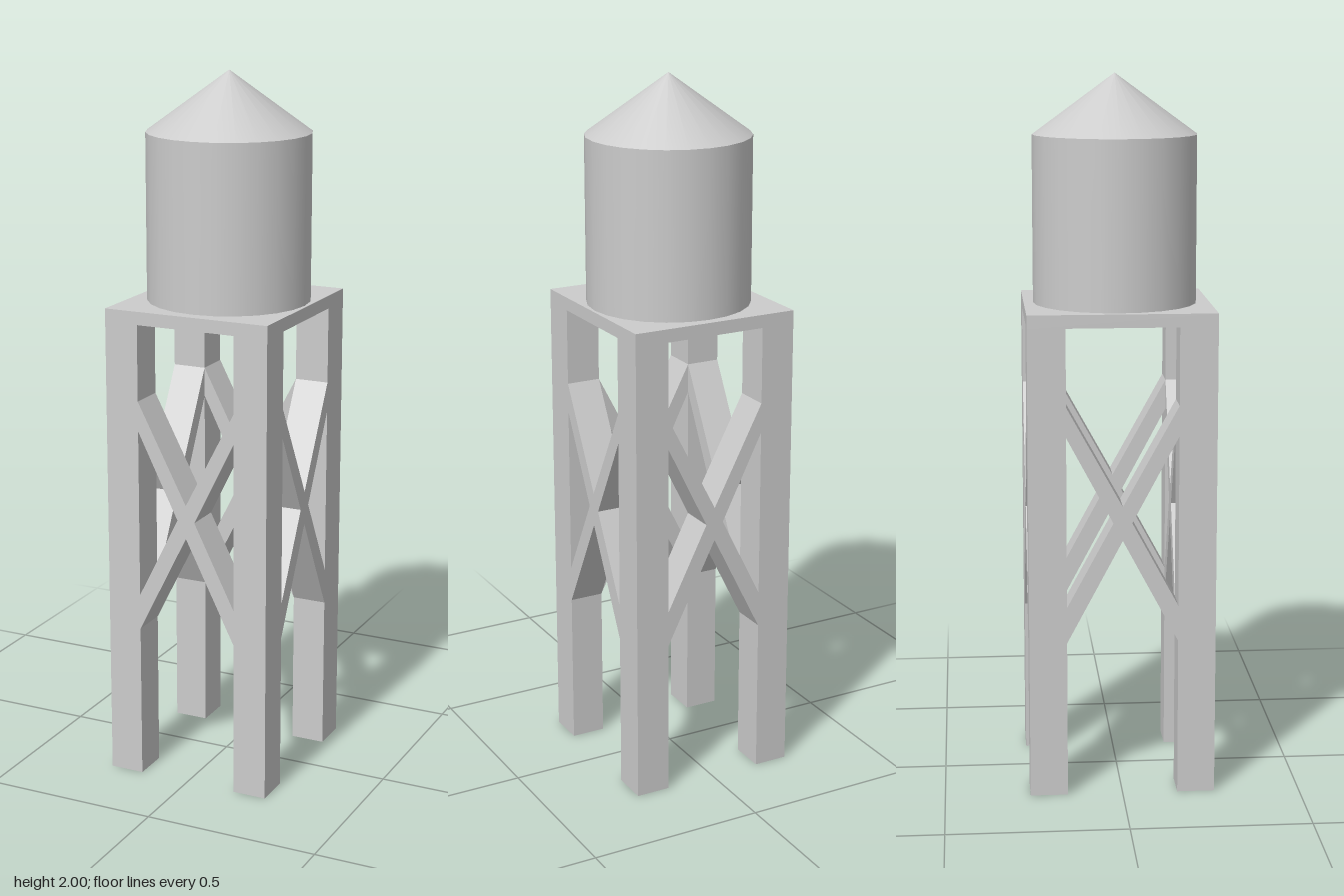
import * as THREE from 'three';

const W = 0.244, D = 0.26;        // half width and half depth of the tower
const IX = 0.146, IZ = 0.155;     // inner faces of the legs
const DECK_LOW = 1.33, DECK_TOP = 1.367, EAVES = 1.833;

export function createModel() {
  const root = new THREE.Group();
  root.name = 'waterTower';
  const material = new THREE.MeshStandardMaterial({ color: 0xcccccc });

  const add = (name, geometry, x, y, z, rotY = 0) => {
    const mesh = new THREE.Mesh(geometry, material);
    mesh.name = name;
    mesh.position.set(x, y, z);
    mesh.rotation.y = rotY;
    root.add(mesh);
  };

  // Four straight legs
  const legGeo = new THREE.BoxGeometry(W - IX, DECK_LOW, D - IZ);
  for (const sx of [-1, 1]) for (const sz of [-1, 1]) {
    const name = (sz > 0 ? 'front' : 'back') + (sx > 0 ? 'Left' : 'Right') + 'Leg';
    add(name, legGeo, sx * (W + IX) / 2, DECK_LOW / 2, sz * (D + IZ) / 2);
  }

  // X-shaped brace filling the gap between two legs, as deep as the legs
  const braceGeo = (half, depth) => {
    const right = [[0, 0.737], [half, 0.446], [half, 0.548], [0.026, 0.787],
      [half, 1.029], [half, 1.114], [0, 0.833]];
    const left = right.slice(1, -1).reverse().map(([x, y]) => [-x, y]);
    const shape = new THREE.Shape([...right, ...left].map(([x, y]) => new THREE.Vector2(x, y)));
    const geo = new THREE.ExtrudeGeometry(shape, { depth, bevelEnabled: false });
    return geo.translate(0, 0, -depth / 2);
  };
  const wideBrace = braceGeo(IX, D - IZ), sideBrace = braceGeo(IZ, W - IX);
  add('frontBrace', wideBrace, 0, 0, (D + IZ) / 2);
  add('backBrace', wideBrace, 0, 0, -(D + IZ) / 2);
  add('leftBrace', sideBrace, (W + IX) / 2, 0, 0, Math.PI / 2);
  add('rightBrace', sideBrace, -(W + IX) / 2, 0, 0, Math.PI / 2);

  // Deck on top of the legs
  add('deck', new THREE.BoxGeometry(2 * W, DECK_TOP - DECK_LOW, 2 * D), 0, (DECK_TOP + DECK_LOW) / 2, 0);

  // Tank and conical roof, slightly off centre on the deck
  const R = 0.2295, cx = 0.006, cz = -0.004;
  add('tank', new THREE.CylinderGeometry(R, R, EAVES - DECK_TOP, 24), cx, (EAVES + DECK_TOP) / 2, cz);
  add('roof', new THREE.ConeGeometry(R, 2 - EAVES, 24, 1, true), cx, (2 + EAVES) / 2, cz);

  return root;
}
